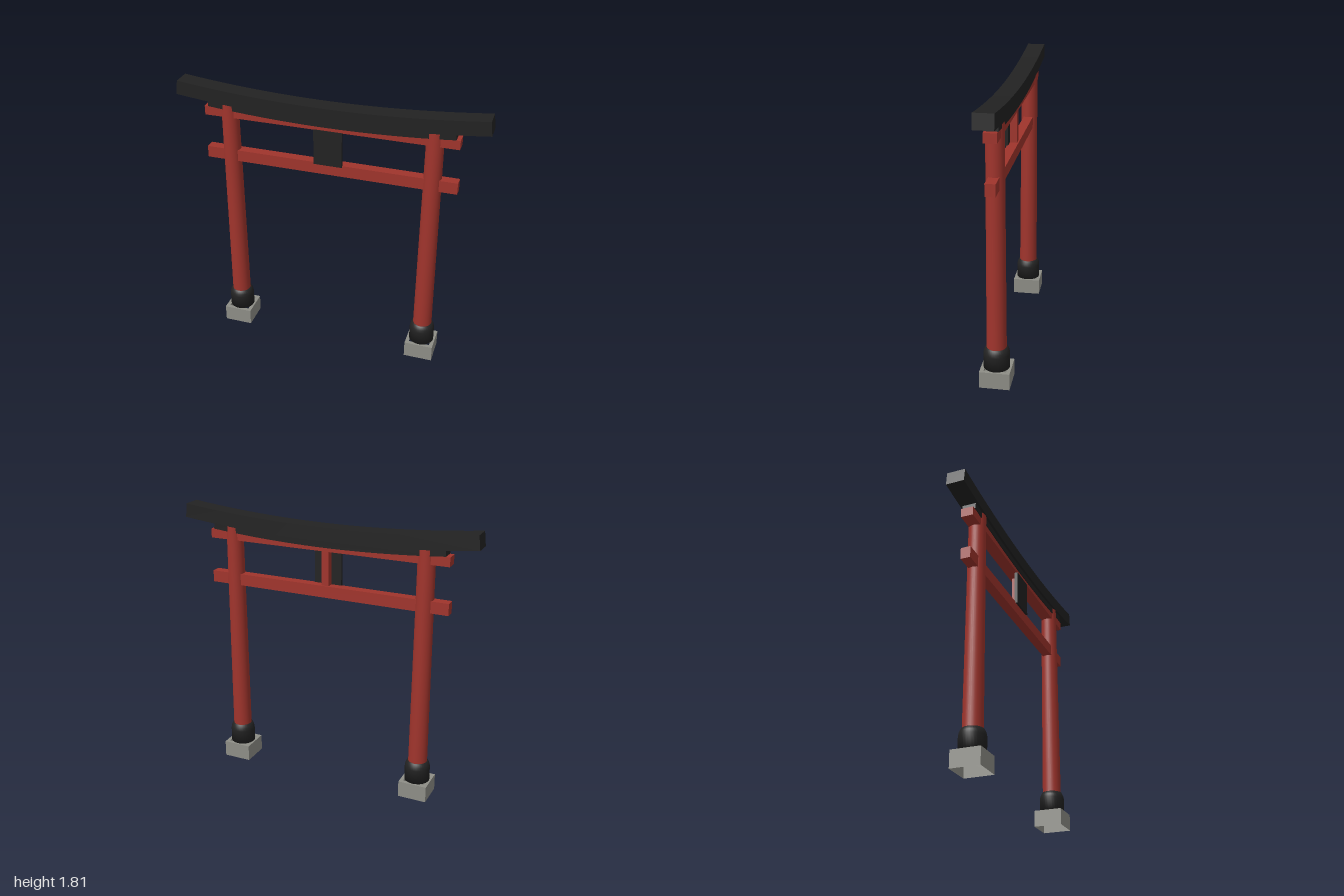
import * as THREE from 'three';

const red = new THREE.MeshStandardMaterial({ name: 'vermilion', color: 0xa0342c });
const black = new THREE.MeshStandardMaterial({ name: 'black', color: 0x222222 });
const stone = new THREE.MeshStandardMaterial({ name: 'stone', color: 0x8e8e87, side: THREE.DoubleSide });

function add(parent, name, geometry, material, x = 0, y = 0, z = 0) {
  const mesh = new THREE.Mesh(geometry, material);
  mesh.name = name;
  mesh.position.set(x, y, z);
  parent.add(mesh);
  return mesh;
}

// Box given by its full width and depth and its bottom and top heights
function bar(parent, name, material, width, y0, y1, depth, z = 0) {
  return add(parent, name, new THREE.BoxGeometry(width, y1 - y0, depth), material, 0, (y0 + y1) / 2, z);
}

// Beam sagging along a parabola, its ends cut square to the curve
function curvedBeam(halfLength, bottom, thickness, depth) {
  const rise = 0.06, steps = 24, lower = [], upper = [];
  for (let i = 0; i <= steps; i++) {
    const x = halfLength * (2 * i / steps - 1);
    const y = bottom + rise * x * x;
    const n = new THREE.Vector2(-2 * rise * x, 1).normalize();
    lower.push(new THREE.Vector2(x, y));
    upper.push(new THREE.Vector2(x + n.x * thickness, y + n.y * thickness));
  }
  const shape = new THREE.Shape([...lower, ...upper.reverse()]);
  return new THREE.ExtrudeGeometry(shape, { depth, bevelEnabled: false }).translate(0, 0, -depth / 2);
}

function square(half, Type) {
  return new Type([[-1, -1], [1, -1], [1, 1], [-1, 1]].map(([x, y]) => new THREE.Vector2(x * half, y * half)));
}

function createPillar(x) {
  const pillar = new THREE.Group();
  pillar.name = x > 0 ? 'leftPillar' : 'rightPillar';
  pillar.position.x = x;

  // Hollow stone footing: four walls and a top with a square hole
  const half = 0.095, height = 0.11;
  for (let i = 0; i < 4; i++) {
    const wall = new THREE.PlaneGeometry(half * 2, height).translate(0, height / 2, half).rotateY(i * Math.PI / 2);
    add(pillar, 'footingWall', wall, stone);
  }
  const top = square(half, THREE.Shape);
  top.holes.push(square(0.07, THREE.Path));
  add(pillar, 'footingTop', new THREE.ShapeGeometry(top).rotateX(-Math.PI / 2), stone, 0, height, 0);

  // Black collar with a rounded shoulder
  const profile = [[0, 0.11], [0.083, 0.11], [0.083, 0.205], [0.079, 0.225], [0.068, 0.248], [0.05, 0.25]];
  add(pillar, 'collar', new THREE.LatheGeometry(profile.map(p => new THREE.Vector2(...p)), 32), black);

  // Slightly tapered post
  add(pillar, 'post', new THREE.CylinderGeometry(0.055, 0.0625, 1.47, 32), red, 0, 0.96, 0);
  return pillar;
}

export function createModel() {
  const gate = new THREE.Group();
  gate.name = 'gate';

  for (const side of [-1, 1]) gate.add(createPillar(side * 0.6625));

  // Straight red tie beams
  bar(gate, 'lowerBeam', red, 1.65, 1.288, 1.365, 0.064);
  bar(gate, 'upperBeam', red, 1.64, 1.595, 1.655, 0.08);

  // Central strut with the blank tablet in front
  bar(gate, 'strut', red, 0.05, 1.36, 1.6, 0.045);
  bar(gate, 'tablet', black, 0.185, 1.358, 1.597, 0.02, 0.034);

  // Curved black lintel and the longer top beam
  add(gate, 'lintel', curvedBeam(0.795, 1.62, 0.045, 0.09), black);
  add(gate, 'topBeam', curvedBeam(1, 1.66, 0.092, 0.12), black);
  return gate;
}
